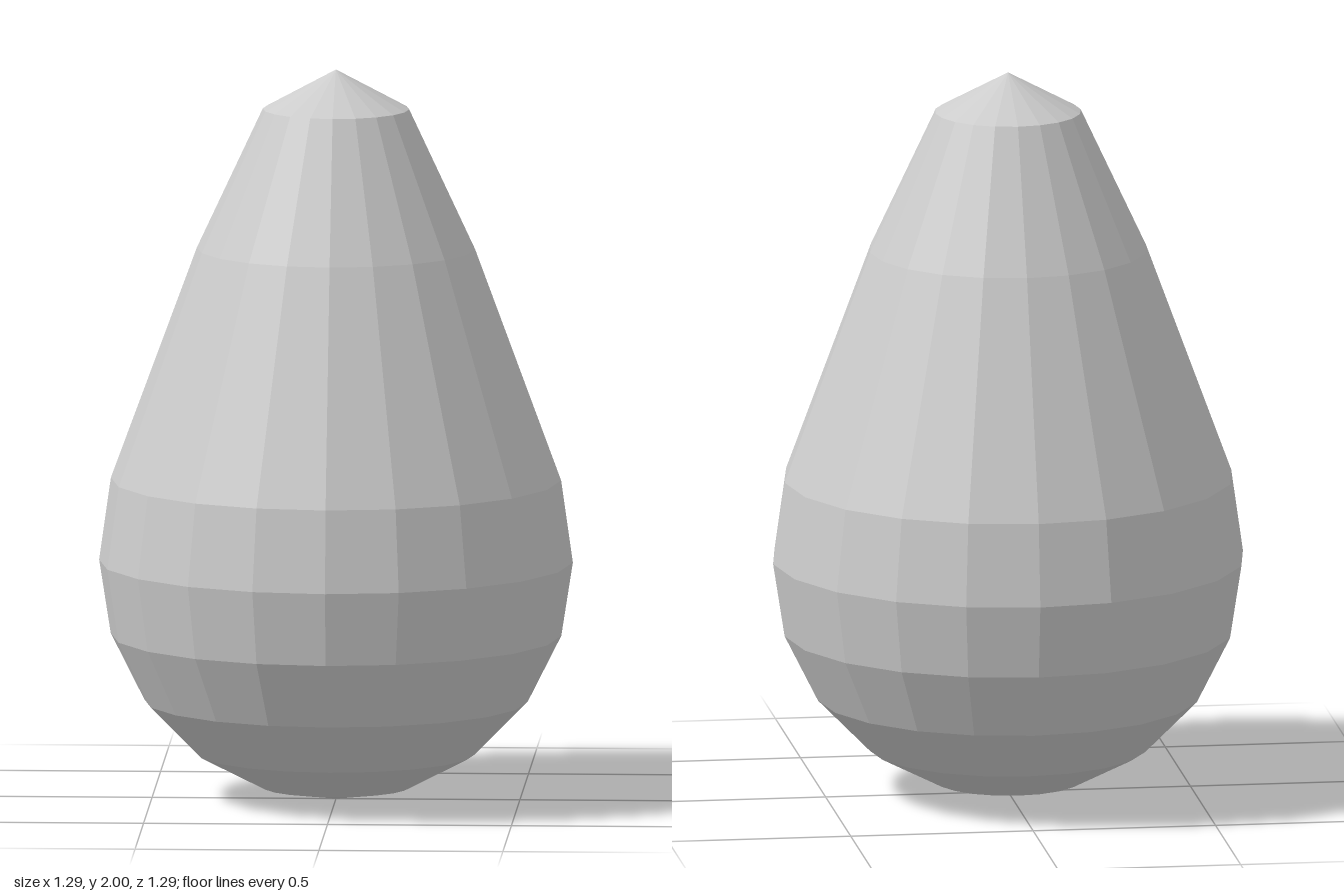
import * as THREE from 'three';

export function createModel() {
  const group = new THREE.Group();
  group.name = 'teardrop';

  const sides = 20;
  const radius = 0.644;
  const centreY = 0.652;

  // Rounded lower half: rings every 18 degrees from the bottom point to the waist
  const profile = [];
  for (let i = 0; i <= 5; i++) {
    const a = (i / 5) * Math.PI / 2;
    profile.push(new THREE.Vector2(radius * Math.sin(a), centreY * (1 - Math.cos(a))));
  }
  // Tapering upper half, ending in a low cone
  for (const [r, y] of [[0.612, 0.877], [0.378, 1.51], [0.199, 1.892], [0, 2]]) {
    profile.push(new THREE.Vector2(r, y));
  }

  // Faceted body
  const geometry = new THREE.LatheGeometry(profile, sides).toNonIndexed();
  geometry.computeVertexNormals();
  const body = new THREE.Mesh(
    geometry,
    new THREE.MeshStandardMaterial({ color: 0xcccccc, flatShading: true })
  );
  body.name = 'body';
  group.add(body);

  return group;
}
